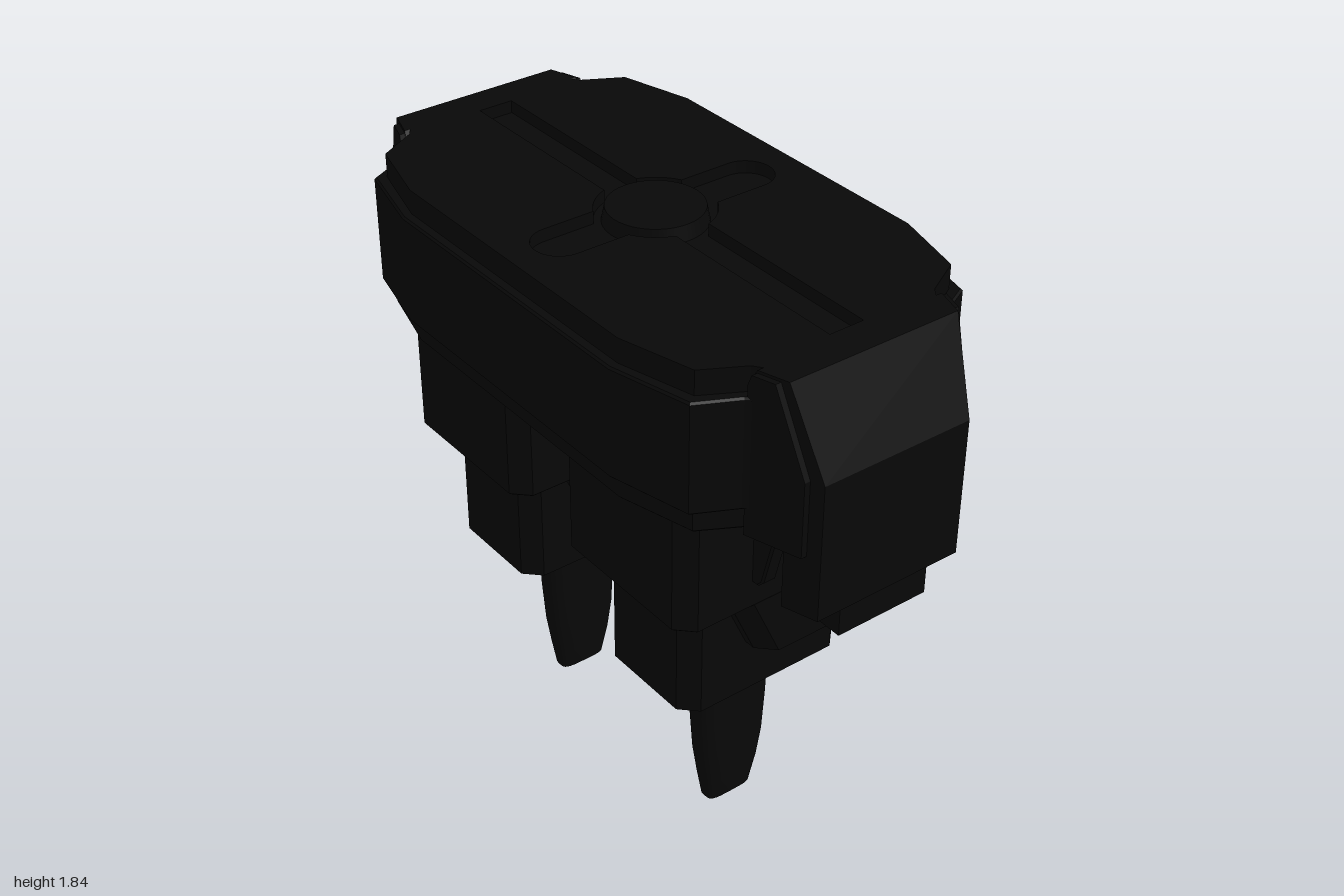
import * as THREE from 'three';

const black = new THREE.MeshStandardMaterial({ color: 0x080808 });
black.name = 'black plastic';

const toShape = (pts) => new THREE.Shape(pts.map(([x, y]) => new THREE.Vector2(x, y)));

// Extrusion centred on its depth, with a small chamfer that stays inside the outline
function prism(shape, depth, bevel = 0) {
  const geo = new THREE.ExtrudeGeometry(shape, {
    depth: depth - 2 * bevel, bevelEnabled: bevel > 0, bevelSize: bevel,
    bevelOffset: -bevel, bevelThickness: bevel, bevelSegments: 1, curveSegments: 16,
  });
  return geo.translate(0, 0, -depth / 2 + bevel);
}
// Outline in (x, -z) standing between two heights
const upright = (shape, y0, y1, bevel) =>
  prism(shape, y1 - y0, bevel).rotateX(-Math.PI / 2).translate(0, (y0 + y1) / 2, 0);
// Outline in (z, y) extruded along x
const sideways = (shape, width, bevel) => prism(shape, width, bevel).rotateY(-Math.PI / 2);

// Give every vertex a new z by a rule
function reshapeZ(geo, rule) {
  const p = geo.attributes.position;
  for (let i = 0; i < p.count; i++) p.setZ(i, rule(p.getX(i), p.getY(i), p.getZ(i)));
  geo.computeVertexNormals();
  return geo;
}

function add(parent, name, geo) {
  const mesh = new THREE.Mesh(geo, black);
  mesh.name = name;
  parent.add(mesh);
}

// Plan of the head, shrunk by an inset
function headPlan(d) {
  const q = [[0.83, 0.29 - d], [0.79 - d * 0.5, 0.33 - d], [0.73 - d * 0.7, 0.45 - d], [0.48, 0.51 - d]];
  const half = [...q, ...q.map(([x, y]) => [-x, y]).reverse()];
  return toShape([...half, ...half.map(([x, y]) => [-x, -y])]);
}

// Rectangle with cut corners, seen from above
function cutCornerPlan(hw, back, front, c) {
  return toShape([[-hw, c - front], [c - hw, -front], [hw - c, -front], [hw, c - front],
    [hw, -back - c], [hw - c, -back], [c - hw, -back], [-hw, -back - c]]);
}

// Cross-shaped recess: round centre, two long slots and two rounded grooves
function recessPath() {
  const R = 0.17, w = 0.055, g = 0.08, p = new THREE.Path();
  const a = Math.asin(w / R), b = Math.acos(g / R), H = Math.PI / 2;
  p.moveTo(0.78, -w);
  p.lineTo(0.78, w);
  p.absarc(0, 0, R, a, b, false);
  p.absarc(0, 0.315, g, 0, Math.PI, false);
  p.absarc(0, 0, R, 2 * H - b, 2 * H - a, false);
  p.lineTo(-0.78, w);
  p.lineTo(-0.78, -w);
  p.absarc(0, 0, R, 2 * H + a, 2 * H + b, false);
  p.absarc(0, -0.315, g, Math.PI, 2 * Math.PI, false);
  p.absarc(0, 0, R, 4 * H - b, 4 * H - a, false);
  p.closePath();
  return p;
}

// Tapered blade lofted from rounded oblong sections
function bladeGeometry() {
  // height, half width, back z, front z
  const rows = [[0, 0.032, -0.053, 0.105], [0.1, 0.041, -0.077, 0.122], [0.2, 0.047, -0.092, 0.137],
    [0.35, 0.051, -0.1, 0.148], [0.6, 0.054, -0.107, 0.155]];
  const n = 24, pos = [], idx = [];
  const soft = (v) => Math.sign(v) * Math.abs(v) ** 0.5;
  for (const [y, hw, z0, z1] of rows) {
    for (let i = 0; i < n; i++) {
      const t = (i / n) * Math.PI * 2;
      pos.push(hw * soft(Math.cos(t)), y, (z0 + z1) / 2 + ((z1 - z0) / 2) * soft(Math.sin(t)));
    }
  }
  for (let r = 0; r < rows.length - 1; r++) {
    for (let i = 0; i < n; i++) {
      const a = r * n + i, b = r * n + (i + 1) % n;
      idx.push(a, a + n, b, b, a + n, b + n);
    }
  }
  // flat tip with its own corners
  const tip = pos.length / 3;
  pos.push(...pos.slice(0, n * 3));
  for (let i = 1; i < n - 1; i++) idx.push(tip, tip + i, tip + i + 1);
  const geo = new THREE.BufferGeometry();
  geo.setAttribute('position', new THREE.Float32BufferAttribute(pos, 3));
  geo.setIndex(idx);
  geo.computeVertexNormals();
  return geo;
}

function makeHead() {
  const head = new THREE.Group();
  head.name = 'head';
  add(head, 'lowerRim', upright(headPlan(0.03), 1.34, 1.43, 0.008));
  add(head, 'band', upright(headPlan(0), 1.42, 1.755, 0.006));
  add(head, 'topStep', upright(headPlan(0.03), 1.75, 1.79));
  const lid = headPlan(0.03);
  lid.holes.push(recessPath());
  add(head, 'recessedLid', upright(lid, 1.79, 1.828));
  add(head, 'centreDisc', new THREE.CylinderGeometry(0.14, 0.15, 0.05, 40).translate(0, 1.81, 0));
  return head;
}

function makeEndCap(s) {
  const cap = new THREE.Group();
  cap.name = s > 0 ? 'leftEndCap' : 'rightEndCap';
  const outer = [[0.78, 1.79], [0.8, 1.828], [0.888, 1.828], [0.995, 1.57], [0.995, 1.15], [0.89, 1.15], [0.89, 1.34], [0.78, 1.34]];
  const flange = [[0.79, 1.79], [0.8, 1.82], [0.865, 1.82], [0.955, 1.57], [0.955, 1.34], [0.79, 1.34]];
  // both layers narrow towards the outer end
  const layer = (pts, endX, endZ) => reshapeZ(prism(toShape(pts.map(([x, y]) => [x * s, y])), 1),
    (x, y, z) => Math.sign(z) * (endZ + 0.31 * (endX - Math.abs(x))));
  add(cap, 'capShell', layer(outer, 0.995, 0.24));
  add(cap, 'capFlange', layer(flange, 0.955, 0.27));
  add(cap, 'capTab', new THREE.BoxGeometry(0.08, 0.12, 0.3).translate(0.94 * s, 1.11, 0));
  return cap;
}

function makeLeg(s) {
  const leg = new THREE.Group();
  leg.name = s > 0 ? 'leftLeg' : 'rightLeg';
  // stepped housing, the lower part with a slanted front
  add(leg, 'upperHousing', upright(cutCornerPlan(0.28, -0.36, 0.413, 0.05), 0.955, 1.36, 0.006));
  add(leg, 'lowerHousing', reshapeZ(upright(cutCornerPlan(0.28, -0.36, 0.125, 0.05), 0.752, 0.96),
    (x, y, z) => (z > 0 && y > 0.9 ? z + 0.095 : z)));
  add(leg, 'socket', upright(cutCornerPlan(0.195, -0.245, 0.33, 0.05), 0.575, 1.0));
  add(leg, 'blade', bladeGeometry());
  // tapered ribs on the outer side
  const outerRib = [[0.25, 1.04], [0.3, 1.04], [0.32, 1.06], [0.362, 1.22], [0.362, 1.36], [0.25, 1.36]];
  for (const z of [0.155, -0.095]) {
    add(leg, 'outerRib', prism(toShape(outerRib.map(([x, y]) => [x * s, y])), 0.05, 0.006).translate(0, 0, z));
  }
  // tapered ribs on the back
  const backRib = [[-0.34, 0.97], [-0.375, 0.98], [-0.425, 1.16], [-0.43, 1.22], [-0.43, 1.36], [-0.34, 1.36]];
  for (const x of [-0.15, 0.15]) {
    add(leg, 'backRib', sideways(toShape(backRib), 0.05, 0.006).translate(x, 0, 0));
  }
  leg.position.x = 0.386 * s;
  return leg;
}

export function createModel() {
  const model = new THREE.Group();
  model.name = 'plugInModule';
  model.add(makeHead());
  for (const s of [1, -1]) model.add(makeEndCap(s), makeLeg(s));
  // central post between the legs
  const post = [[0.3, 1.36], [0.13, 1.01], [-0.13, 1.01], [-0.3, 1.36]];
  add(model, 'centrePost', sideways(toShape(post), 0.134, 0.006));
  return model;
}
